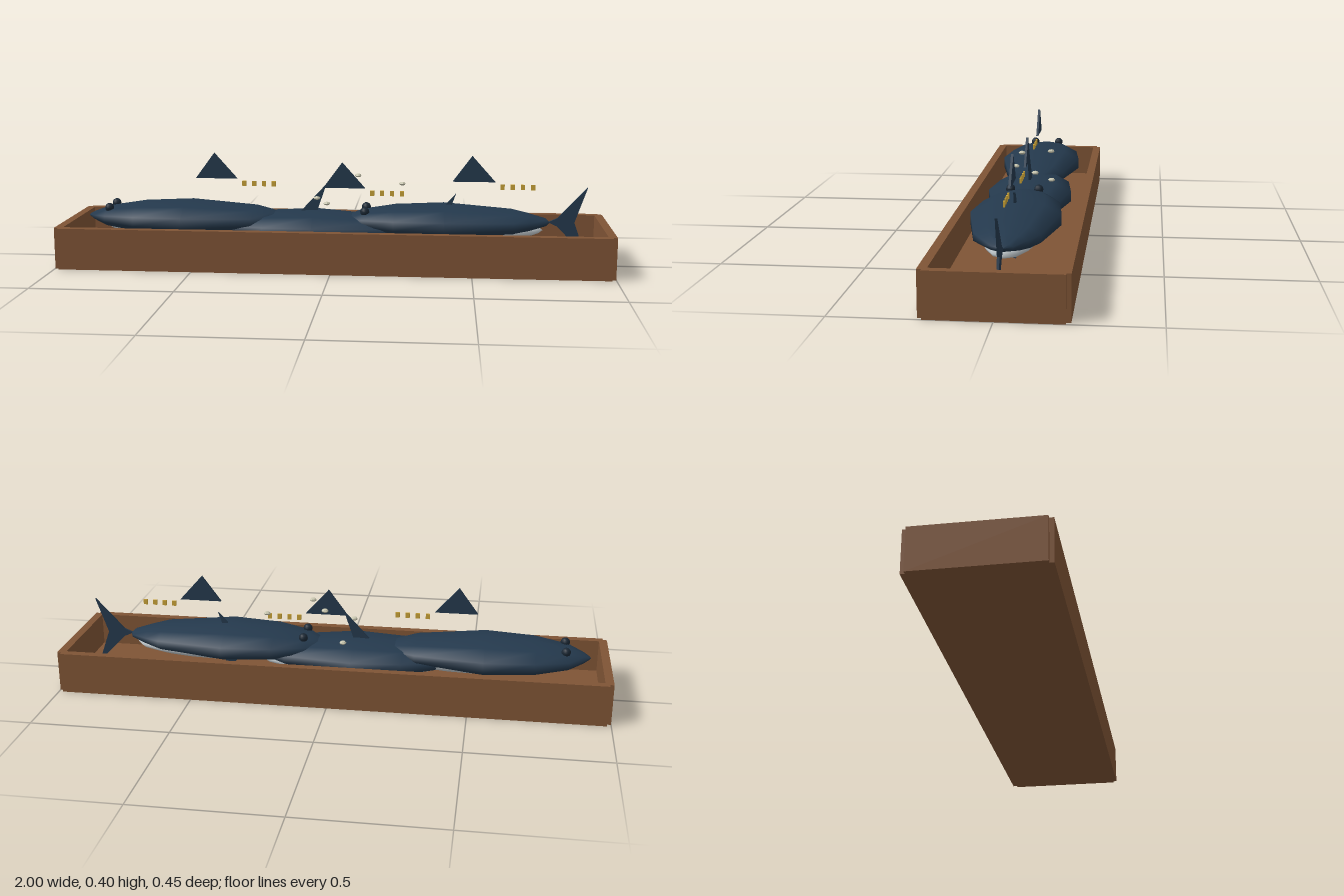
import * as THREE from 'three';

const paint = (name, color) => {
  const m = new THREE.MeshStandardMaterial({ color });
  m.name = name;
  return m;
};

export function createModel() {
  const wood = paint('wood brown', 0x7f5435);
  const skin = paint('fish blue', 0x24394d);
  const eyeDark = paint('eye dark', 0x1a2734);
  const silver = paint('belly silver', 0xc4ccd0);
  const gold = paint('finlet gold', 0xc9a237);
  const ice = paint('ice grey', 0xc9c7b0);

  const model = new THREE.Group();
  model.name = 'fishCrate';

  const add = (parent, name, geometry, material, x = 0, y = 0, z = 0) => {
    const mesh = new THREE.Mesh(geometry, material);
    mesh.name = name;
    mesh.position.set(x, y, z);
    parent.add(mesh);
    return mesh;
  };

  // Open crate: floor, two long boards and two end boards
  const crate = new THREE.Group();
  crate.name = 'crate';
  model.add(crate);
  add(crate, 'crateFloor', new THREE.BoxGeometry(1.97, 0.03, 0.424), wood, 0, 0.015, 0);
  for (const s of [-1, 1]) {
    add(crate, 'longBoard', new THREE.BoxGeometry(1.97, 0.15, 0.03), wood, 0, 0.075, s * 0.212);
    add(crate, 'endBoard', new THREE.BoxGeometry(0.03, 0.15, 0.424), wood, s * 0.985, 0.075, 0);
  }

  // Thin upright plate cut from an outline in the xy plane
  const plate = (points) => {
    const shape = new THREE.Shape(points.map(([x, y]) => new THREE.Vector2(x, y)));
    const g = new THREE.ExtrudeGeometry(shape, { depth: 0.008, bevelEnabled: false });
    return g.translate(0, 0, -0.004);
  };

  // Ten-sided flattened body, nose at x = 0
  const profile = [[0, 0], [0.005, 0.012], [0.025, 0.04], [0.08, 0.094], [0.2, 0.142],
    [0.38, 0.163], [0.63, 0.114], [0.69, 0.078], [0.75, 0.035], [0.765, 0]];
  const bodyGeo = new THREE.LatheGeometry(
    profile.map(([x, r]) => new THREE.Vector2(r, x)), 10, Math.PI / 2);
  bodyGeo.rotateZ(-Math.PI / 2).scale(1, 0.38, 1);

  const bellyGeo = new THREE.SphereGeometry(1, 16, 10).scale(0.34, 0.04, 0.1);
  const eyeGeo = new THREE.SphereGeometry(0.017, 10, 8);
  const dorsalGeo = plate([[0.41, 0.145], [0.565, 0.145], [0.48, 0.24]]);
  const tailGeo = plate([[0.73, 0], [0.76, -0.015], [0.855, -0.125], [0.815, 0],
    [0.855, 0.13], [0.76, 0.015]]);
  const tailFin = tailGeo.translate(0.0, 0, 0);
  const finletGeo = new THREE.BoxGeometry(0.015, 0.019, 0.006);

  const makeFish = (x, y) => {
    const fish = new THREE.Group();
    fish.name = 'fish';
    fish.position.set(x, y, 0);
    model.add(fish);
    add(fish, 'body', bodyGeo, skin);
    add(fish, 'belly', bellyGeo, silver, 0.4, -0.03, 0);
    add(fish, 'dorsalFin', dorsalGeo, skin);
    add(fish, 'tailFin', tailFin, skin).scale.x = 1;
    for (const s of [-1, 1]) add(fish, 'eye', eyeGeo, eyeDark, 0.092, 0.037, s * 0.051);
    for (let i = 0; i < 4; i++) {
      add(fish, 'finlet', finletGeo, gold, 0.591 + i * 0.0367, 0.127, 0);
    }
    return fish;
  };

  // Three overlapping fish, the middle one lying lower
  for (let i = 0; i < 3; i++) {
    const fish = makeFish(-0.93 + i * 0.475, i === 1 ? 0.13 : 0.16);
    // Stretch the tail from the body's end to its full reach
    const tail = fish.getObjectByName('tailFin');
    tail.scale.x = 1.12;
    tail.position.x = -0.06;
  }

  // Scattered flat ice chips
  const chipGeo = new THREE.SphereGeometry(1, 7, 4).toNonIndexed().scale(0.013, 0.007, 0.013);
  chipGeo.computeVertexNormals();
  const chips = [[-0.04, 0.2, -0.085], [0.025, 0.321, -0.088], [0.245, 0.286, -0.051],
    [0.085, 0.325, 0.012], [-0.063, 0.245, 0.05]];
  for (const [x, y, z] of chips) add(model, 'iceChip', chipGeo, ice, x, y, z);

  return model;
}
